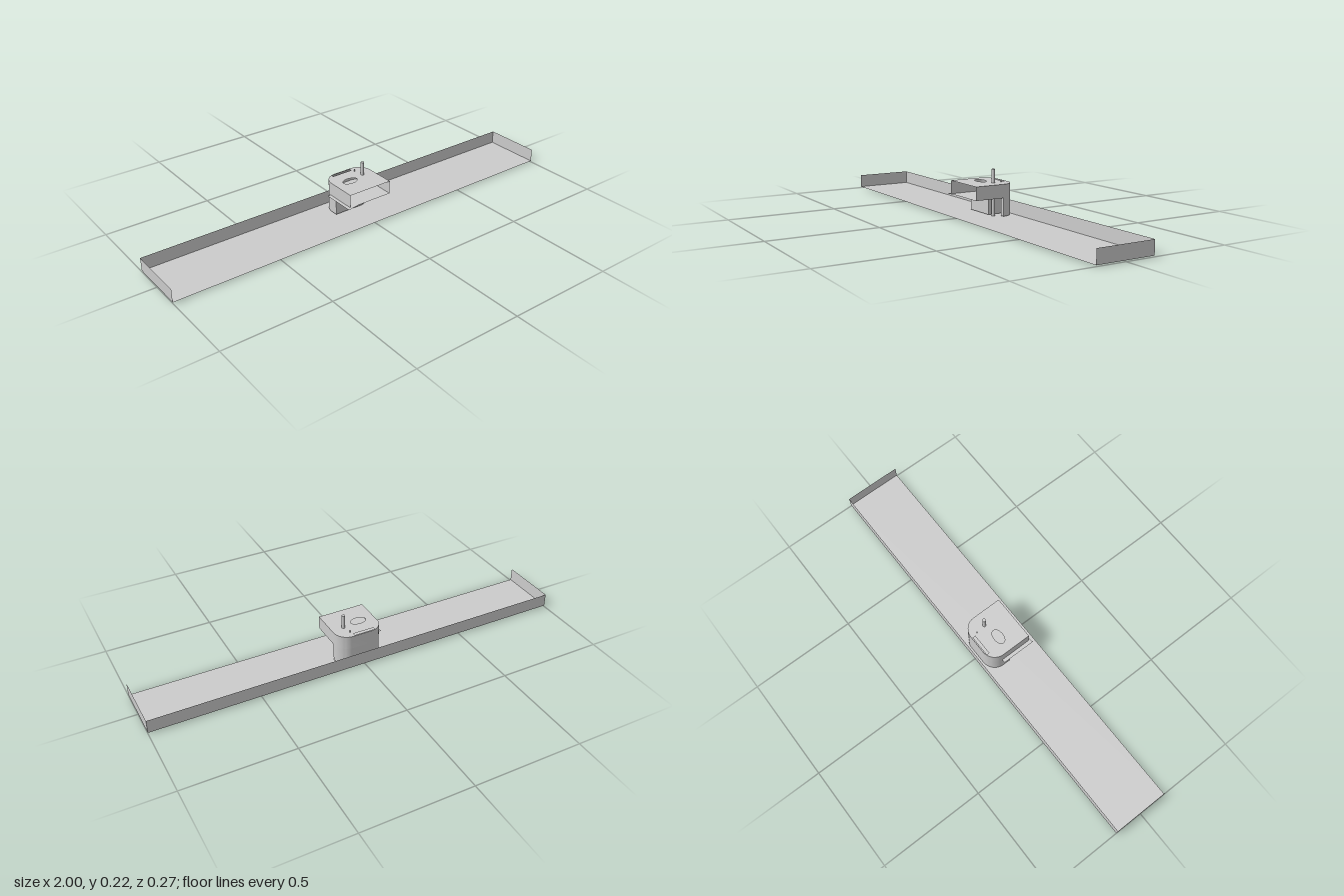
import * as THREE from 'three';
import { toCreasedNormals } from 'three/addons/utils/BufferGeometryUtils.js';

const sheet = new THREE.MeshStandardMaterial({ color: 0xcccccc, side: THREE.DoubleSide });

function add(parent, name, geometry) {
  const mesh = new THREE.Mesh(geometry, sheet);
  mesh.name = name;
  parent.add(mesh);
  return mesh;
}

// Upright sheet following a path of [x, z] points between two heights
function wall(path, y0, y1) {
  const pos = [];
  for (let i = 0; i < path.length - 1; i++) {
    const [ax, az] = path[i], [bx, bz] = path[i + 1];
    pos.push(ax, y0, az, ax, y1, az, bx, y1, bz, ax, y0, az, bx, y1, bz, bx, y0, bz);
  }
  const g = new THREE.BufferGeometry();
  g.setAttribute('position', new THREE.Float32BufferAttribute(pos, 3));
  g.computeVertexNormals();
  return toCreasedNormals(g, 0.6);
}

// Horizontal sheet from [x, z] points, with optional holes
function plate(points, y, holes = []) {
  const s = new THREE.Shape(points.map(([x, z]) => new THREE.Vector2(x, -z)));
  s.holes.push(...holes);
  return new THREE.ShapeGeometry(s, 24).rotateX(-Math.PI / 2).translate(0, y, 0);
}

// Quarter arc of [x, z] points
function arc(cx, cz, r, from, to, n = 12) {
  return Array.from({ length: n + 1 }, (_, i) => {
    const a = from + (to - from) * i / n;
    return [cx + r * Math.cos(a), cz + r * Math.sin(a)];
  });
}

function ellipse(x, z, rx, rz) {
  const p = new THREE.Path();
  p.absellipse(x, -z, rx, rz, 0, Math.PI * 2, true);
  return p;
}

export function createModel() {
  const model = new THREE.Group();
  const L = -0.105, R = 0.115, B = -0.118, F = 0.09;
  const low = 0.093, top = 0.155;

  // Long tray, open at the front
  const tray = new THREE.Group();
  tray.name = 'tray';
  model.add(tray);
  const d = 0.137;
  add(tray, 'trayFloor', plate([[-1, d], [1, d], [1, -d], [-1, -d]], 0.005));
  add(tray, 'trayWalls', wall([[-1, d], [-1, -d], [1, -d], [1, d]], 0.005, 0.067));

  // Rounded back shared by both levels of the housing
  const back = [
    ...arc(L + 0.065, B + 0.065, 0.065, Math.PI, Math.PI * 1.5),
    ...arc(R - 0.065, B + 0.065, 0.065, Math.PI * 1.5, Math.PI * 2),
  ];
  const outline = [[L, F], ...back, [R, F]];

  // Upper housing, open at the front
  const housing = new THREE.Group();
  housing.name = 'housing';
  model.add(housing);
  const slot = new THREE.Path([[-0.06, 0.1], [0.04, 0.1], [0.04, 0.112], [-0.06, 0.112]]
    .map(([x, y]) => new THREE.Vector2(x, y)));
  add(housing, 'topPlate', plate(outline, top, [ellipse(-0.025, -0.02, 0.037, 0.022), slot]));
  add(housing, 'upperWalls', wall(outline, low, top));
  add(housing, 'middlePlate', plate([[L, F], ...back, [R, F]], low));
  add(housing, 'sideFlange', plate([[-0.122, -0.06], [-0.122, 0.102], [-0.06, F], [L, F], [L, -0.06]], low));

  // Lower housing, with a gap at the right front for the rod
  add(housing, 'lowerWalls', wall([
    [0.044, -0.1], [0.044, -0.018], [L, -0.018], ...back, [0.095, -0.053],
  ], 0.01, low));

  // Upright rod and small pin
  add(model, 'rod', new THREE.CylinderGeometry(0.008, 0.008, 0.218, 24)).position.set(0.057, 0.109, -0.036);
  add(model, 'pin', new THREE.CylinderGeometry(0.0025, 0.0025, 0.012, 12)).position.set(0.048, 0.159, -0.083);

  return model;
}
